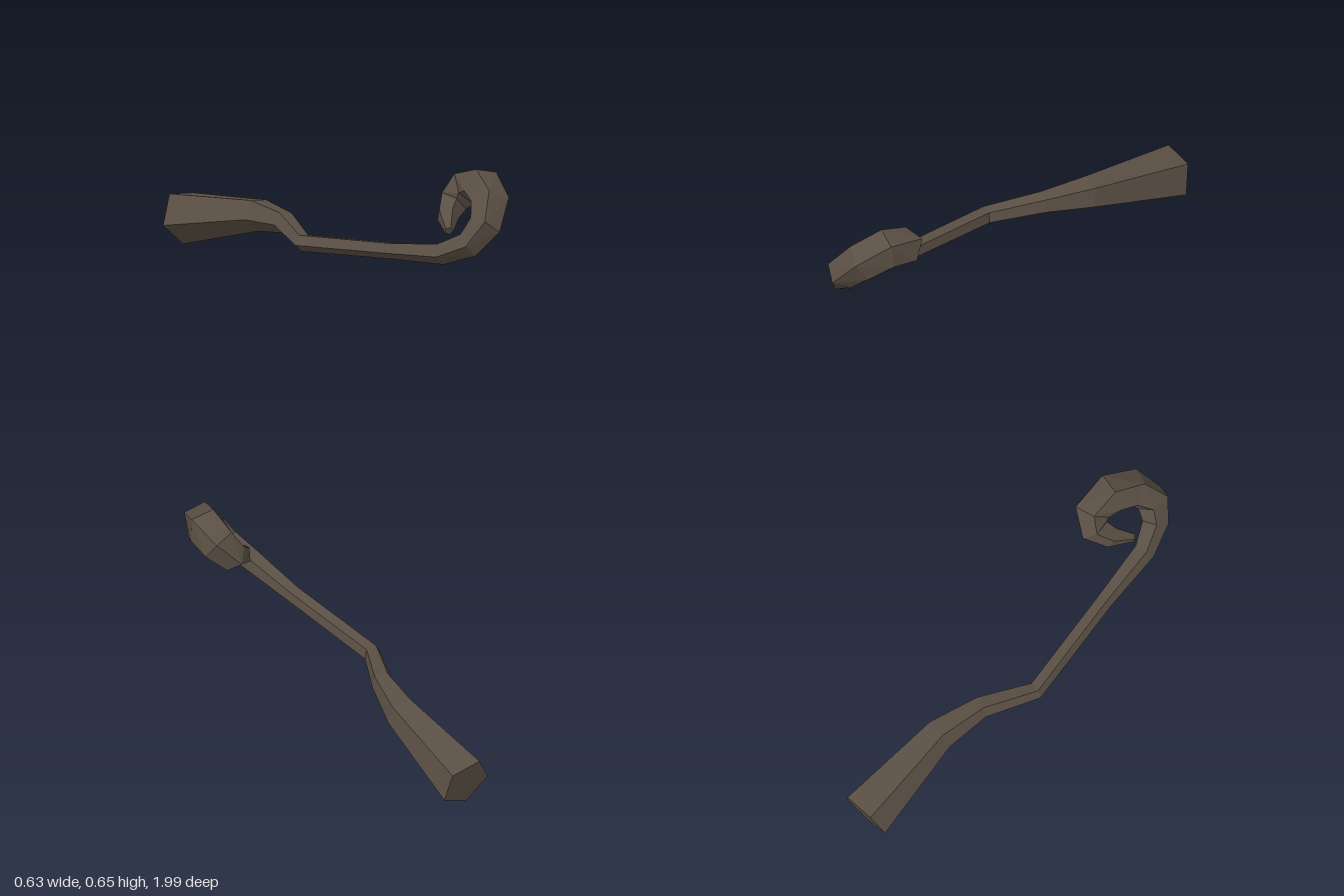
import * as THREE from 'three';

const SIDES = 5;

// Centre line of the staff: x, y, z, radius of the five-sided section
const RINGS = [
  [-0.193, 0.122, -0.957, 0.127], // broad butt
  [-0.118, 0.222, -0.475, 0.078],
  [-0.135, 0.236, -0.25, 0.052],
  [-0.213, 0.205, 0.0, 0.042],    // elbow
  [-0.073, 0.253, 0.5, 0.04],
  [-0.002, 0.288, 0.78, 0.052],
  [0.065, 0.343, 0.895, 0.063],   // curl begins
  [0.13, 0.425, 0.932, 0.078],
  [0.2, 0.51, 0.875, 0.09],
  [0.232, 0.56, 0.765, 0.094],
  [0.225, 0.535, 0.655, 0.086],
  [0.17, 0.468, 0.627, 0.07],
  [0.105, 0.422, 0.675, 0.052],
  [0.05, 0.38, 0.762, 0.02],      // tip
];

// Sweep a polygon along the centre line, carrying its orientation with the bends
function sweep(rings, startNormal) {
  const centres = rings.map(([x, y, z]) => new THREE.Vector3(x, y, z));
  const last = rings.length - 1;
  const normal = startNormal.clone();
  const sections = centres.map((c, i) => {
    const tangent = new THREE.Vector3();
    if (i > 0) tangent.add(c.clone().sub(centres[i - 1]).normalize());
    if (i < last) tangent.add(centres[i + 1].clone().sub(c).normalize());
    tangent.normalize();
    normal.addScaledVector(tangent, -normal.dot(tangent)).normalize();
    const side = tangent.clone().cross(normal);
    return Array.from({ length: SIDES }, (_, k) => {
      const a = (k / SIDES) * Math.PI * 2;
      return c.clone()
        .addScaledVector(normal, Math.cos(a) * rings[i][3])
        .addScaledVector(side, Math.sin(a) * rings[i][3]);
    });
  });

  const points = [];
  for (let i = 0; i < last; i++) {
    for (let k = 0; k < SIDES; k++) {
      const n = (k + 1) % SIDES;
      const [a, b, c, d] = [sections[i][k], sections[i][n], sections[i + 1][n], sections[i + 1][k]];
      points.push(a, b, c, a, c, d);
    }
  }
  // End caps
  for (let k = 1; k < SIDES - 1; k++) {
    const s = sections[0], e = sections[last];
    points.push(s[0], s[k + 1], s[k], e[0], e[k], e[k + 1]);
  }
  const geometry = new THREE.BufferGeometry().setFromPoints(points);
  geometry.computeVertexNormals(); // unshared corners give flat facets
  return geometry;
}

export function createModel() {
  const group = new THREE.Group();
  group.name = 'curledStaff';
  const wood = new THREE.MeshStandardMaterial({ color: 0x5a4f44, flatShading: true });
  wood.name = 'darkWood';

  const staff = new THREE.Mesh(sweep(RINGS, new THREE.Vector3(-0.135, -0.02, 0.04)), wood);
  staff.name = 'staff';
  group.add(staff);
  return group;
}
